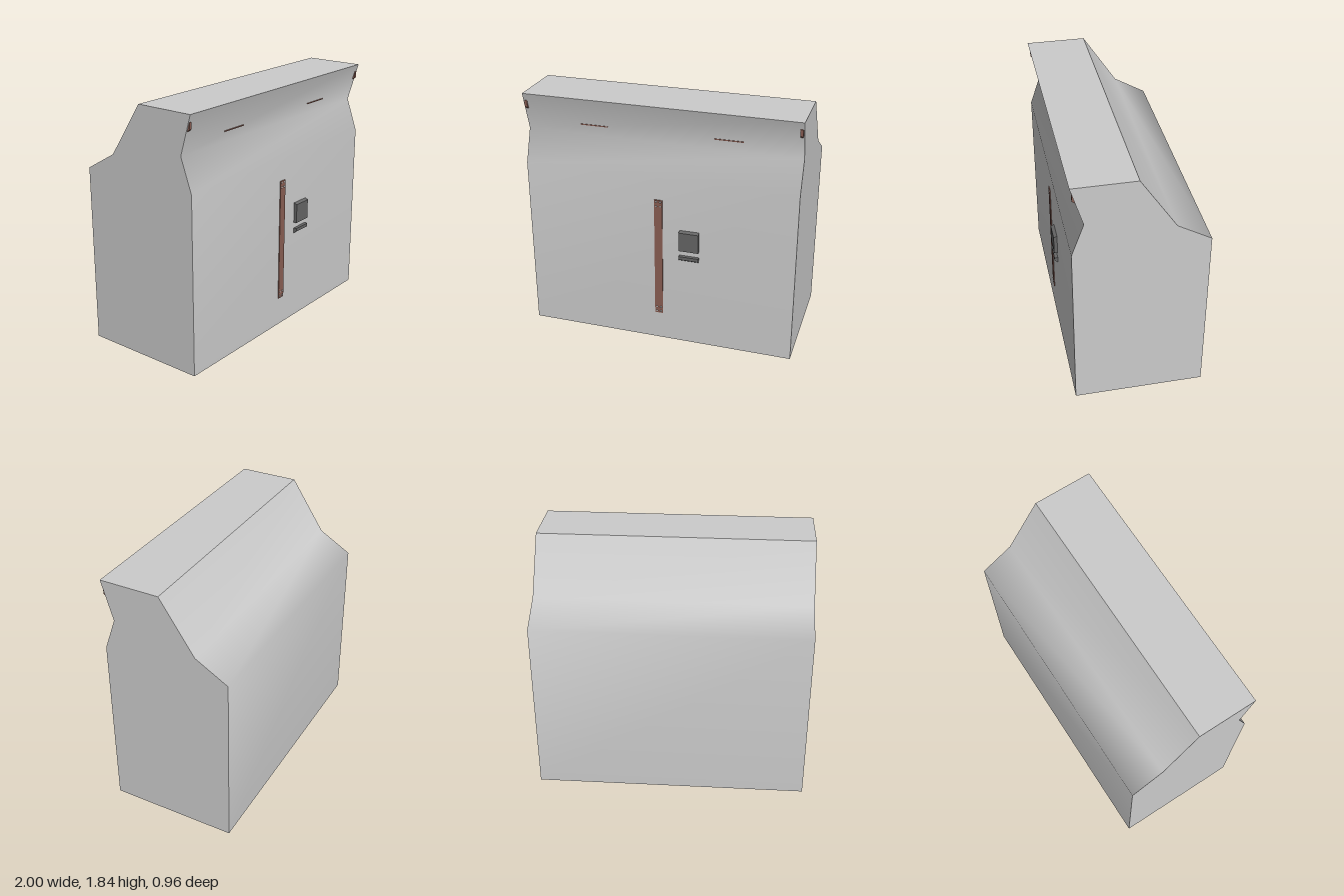
import * as THREE from 'three';

const grey = new THREE.MeshStandardMaterial({ color: 0xcccccc });
const brown = new THREE.MeshStandardMaterial({ color: 0x8a5e53 });
const dark = new THREE.MeshStandardMaterial({ color: 0x666666 });

const WIDTH = 2;
const FRONT = 0.455;
// Side profile as [z, y]: up the front, over the top and down the back
const front = [[FRONT, 0], [FRONT, 1.31], [0.37, 1.55], [FRONT, 1.835]];
const back = [[0.015, 1.835], [-0.24, 1.45], [-0.48, 1.31], [-0.48, 0]];

const toShape = (pts) => new THREE.Shape(pts.map(([z, y]) => new THREE.Vector2(z, y)));

function add(parent, name, geometry, material, x = 0, y = 0, z = 0) {
  const mesh = new THREE.Mesh(geometry, material);
  mesh.name = name;
  mesh.position.set(x, y, z);
  parent.add(mesh);
  return mesh;
}

// Smooth-shaded sheet spanning the full width along a [z, y] profile
function sheet(pts) {
  const positions = [], index = [];
  pts.forEach(([z, y], i) => {
    positions.push(-WIDTH / 2, y, z, WIDTH / 2, y, z);
    if (i < pts.length - 1) {
      const a = i * 2;
      index.push(a, a + 1, a + 3, a, a + 3, a + 2);
    }
  });
  const g = new THREE.BufferGeometry();
  g.setAttribute('position', new THREE.Float32BufferAttribute(positions, 3));
  g.setIndex(index);
  g.computeVertexNormals();
  return g;
}

// Solid with a [z, y] profile, centred on x = 0
function prism(pts, width) {
  return new THREE.ExtrudeGeometry(toShape(pts), { depth: width, bevelEnabled: false })
    .rotateY(-Math.PI / 2).translate(width / 2, 0, 0);
}

export function createModel() {
  const model = new THREE.Group();
  model.name = 'cabinet';

  // Body shell: creased at the top, bottom and side edges
  const body = new THREE.Group();
  body.name = 'body';
  model.add(body);
  add(body, 'frontPanel', sheet(front), grey);
  add(body, 'topPanel', sheet([front[3], back[0]]), grey);
  add(body, 'backPanel', sheet(back), grey);
  add(body, 'bottomPanel', sheet([back[3], front[0]]), grey);
  const side = new THREE.ShapeGeometry(toShape([...front, ...back]))
    .rotateY(-Math.PI / 2).translate(-WIDTH / 2, 0, 0);
  add(body, 'rightSide', side, grey);
  add(body, 'leftSide', side, grey).scale.x = -1;

  // Vertical strap with four rivets at each end
  add(model, 'strap', new THREE.BoxGeometry(0.06, 0.93, 0.008), brown, 0, 0.682, FRONT + 0.002);
  const rivet = new THREE.SphereGeometry(0.007, 12, 8).scale(1, 1, 0.6);
  for (const y of [0.233, 0.268, 1.098, 1.133])
    for (const x of [-0.015, 0.015]) add(model, 'rivet', rivet, grey, x, y, FRONT + 0.006);

  // Plate and small ledge beside the strap
  add(model, 'plate', prism([[0.45, 0.775], [0.48, 0.775], [0.48, 0.92], [0.45, 0.932]], 0.145), dark, 0.229);
  add(model, 'ledge', prism([[0.45, 0.69], [0.458, 0.69], [0.48, 0.705], [0.48, 0.73], [0.45, 0.73]], 0.145), dark, 0.229);

  // Paired thin strips and corner catches under the overhang
  const catchShape = prism([[0.41, 1.72], [0.422, 1.718], [0.44, 1.732], [0.442, 1.78], [0.43, 1.784]], 0.02);
  for (const s of [-1, 1]) {
    add(model, 'strip', new THREE.BoxGeometry(0.205, 0.007, 0.014), brown, s * 0.487, 1.63, 0.392);
    add(model, 'cornerCatch', catchShape, brown, s * 0.982);
  }
  return model;
}
